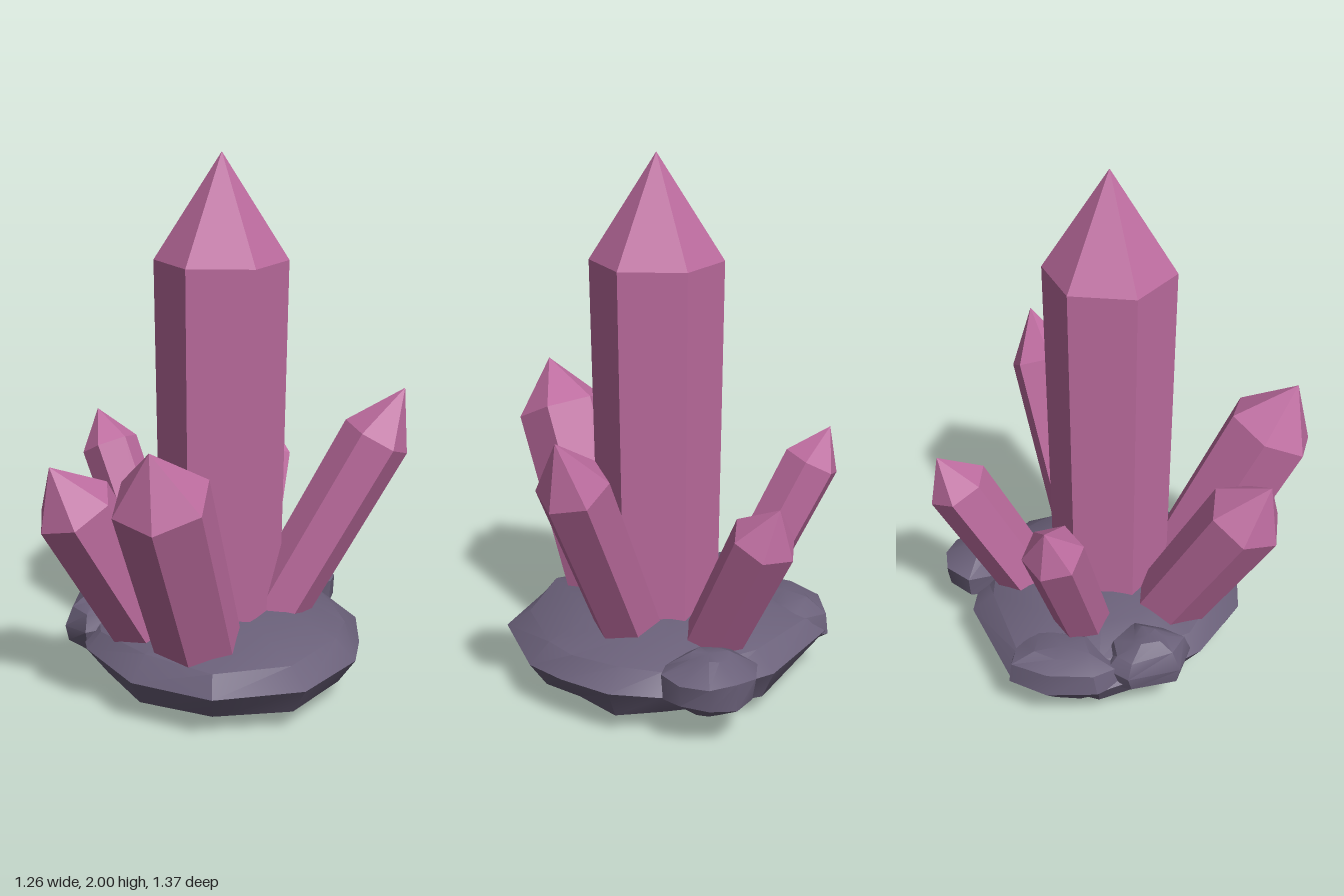
import * as THREE from 'three';
import { toCreasedNormals, mergeGeometries } from 'three/addons/utils/BufferGeometryUtils.js';

const V = (p) => new THREE.Vector3(...p);

// Six-sided prism with a pointed tip, leaning from base to tip
function crystal(name, material, { base, tip, radius, point, spin, taper = 0.93 }) {
  const axis = V(tip).sub(V(base));
  const length = axis.length();
  const shaft = length - point;
  const body = new THREE.CylinderGeometry(radius, radius * taper, shaft, 6, 1, true);
  body.translate(0, shaft / 2, 0);
  const cap = new THREE.ConeGeometry(radius, point, 6, 1, true);
  cap.translate(0, shaft + point / 2, 0);
  const foot = new THREE.CircleGeometry(radius * taper, 6).rotateX(Math.PI / 2);
  const geometry = mergeGeometries([body, cap, foot]);
  geometry.rotateY(THREE.MathUtils.degToRad(spin));
  const mesh = new THREE.Mesh(toCreasedNormals(geometry, 0.3), material);
  mesh.name = name;
  mesh.quaternion.setFromUnitVectors(new THREE.Vector3(0, 1, 0), axis.normalize());
  mesh.position.set(...base);
  return mesh;
}

// Boulder lofted from an [x, z] outline; rings are [scale, y], bottom to top
function boulder(name, material, outline, centre, rings, wobble, crease) {
  const n = outline.length;
  const pos = [];
  const index = [];
  rings.forEach(([s, y], r) => outline.forEach(([x, z], j) => {
    const k = s === 1 ? 1 : s * (1 + wobble * Math.sin(j * 2.4 + r * 1.7));
    const dy = r === 0 ? 0 : wobble * 0.12 * Math.sin(j * 1.9 + r * 2.3);
    pos.push(centre[0] + (x - centre[0]) * k, y + dy, centre[1] + (z - centre[1]) * k);
  }));
  for (let r = 0; r < rings.length - 1; r++) {
    for (let j = 0; j < n; j++) {
      const a = r * n + j, b = r * n + (j + 1) % n;
      index.push(a, b, b + n, a, b + n, a + n);
    }
  }
  // Close bottom and top with fans
  const low = pos.length / 3, high = low + 1, last = (rings.length - 1) * n;
  pos.push(centre[0], rings[0][1], centre[1], centre[0], rings.at(-1)[1] + 0.005, centre[1]);
  for (let j = 0; j < n; j++) {
    const k = (j + 1) % n;
    index.push(low, k, j, high, last + j, last + k);
  }
  const geometry = new THREE.BufferGeometry();
  geometry.setAttribute('position', new THREE.Float32BufferAttribute(pos, 3));
  geometry.setIndex(index);
  const mesh = new THREE.Mesh(toCreasedNormals(geometry, crease), material);
  mesh.name = name;
  return mesh;
}

export function createModel() {
  const group = new THREE.Group();
  group.name = 'crystalCluster';
  const pink = new THREE.MeshStandardMaterial({ color: 0xbd6c9f });
  pink.name = 'crystalPink';
  const grey = new THREE.MeshStandardMaterial({ color: 0x6a6079 });
  grey.name = 'rockGrey';

  // Crystals
  const crystals = {
    mainCrystal: { base: [0.065, 0.15, -0.035], tip: [0.065, 2, -0.035], radius: 0.242, point: 0.38, spin: 12 },
    frontLeftCrystal: { base: [0.187, 0.2, 0.195], tip: [0.352, 1.105, 0.615], radius: 0.175, point: 0.205, spin: 33 },
    frontRightCrystal: { base: [-0.025, 0.2, 0.21], tip: [-0.12, 0.96, 0.635], radius: 0.15, point: 0.19, spin: 45 },
    rightCrystal: { base: [-0.22, 0.2, -0.03], tip: [-0.61, 0.945, -0.04], radius: 0.112, point: 0.15, spin: 25 },
    backLeftCrystal: { base: [0.183, 0.2, -0.15], tip: [0.53, 1.14, -0.53], radius: 0.13, point: 0.21, spin: 8 },
    backRightCrystal: { base: [-0.055, 0.2, -0.3], tip: [-0.215, 0.87, -0.625], radius: 0.122, point: 0.15, spin: 43 },
  };
  for (const [name, spec] of Object.entries(crystals)) group.add(crystal(name, pink, spec));

  // Main flat rock
  group.add(boulder('baseRock', grey, [
    [0.12, 0.49], [0.43, 0.4], [0.625, 0.13], [0.59, -0.2], [0.5, -0.34], [0.36, -0.5], [0.185, -0.56],
    [0, -0.56], [-0.25, -0.5], [-0.55, -0.22], [-0.52, 0.12], [-0.35, 0.3], [-0.19, 0.42],
  ], [0.03, -0.04], [[0.52, 0], [0.87, 0.075], [1, 0.18], [0.87, 0.25], [0.58, 0.3], [0.25, 0.325]], 0.04, 0.5));

  // Smaller boulders around the rim
  group.add(boulder('backBoulder', grey, [
    [0.05, -0.4], [0.15, -0.49], [0.185, -0.56], [0.14, -0.64], [0.05, -0.7],
    [-0.05, -0.7], [-0.13, -0.66], [-0.17, -0.55], [-0.1, -0.43],
  ], [0.01, -0.55], [[0.4, 0.11], [0.95, 0.175], [1, 0.265], [0.4, 0.32]], 0.06, 0.6));
  group.add(boulder('frontBoulder', grey, [
    [-0.35, 0.385], [-0.23, 0.39], [-0.18, 0.28], [-0.2, 0.14],
    [-0.36, 0.1], [-0.45, 0.13], [-0.47, 0.22],
  ], [-0.32, 0.25], [[0.35, 0.12], [0.85, 0.15], [1, 0.225], [0.8, 0.285], [0.35, 0.32]], 0.06, 0.6));
  group.add(boulder('sideBoulder', grey, [
    [-0.45, 0.18], [-0.3, 0.06], [-0.3, -0.2], [-0.4, -0.26],
    [-0.56, -0.22], [-0.585, -0.06], [-0.53, 0.12],
  ], [-0.44, -0.05], [[0.5, 0.09], [1, 0.17], [0.93, 0.25], [0.5, 0.285]], 0.05, 0.5));

  return group;
}
